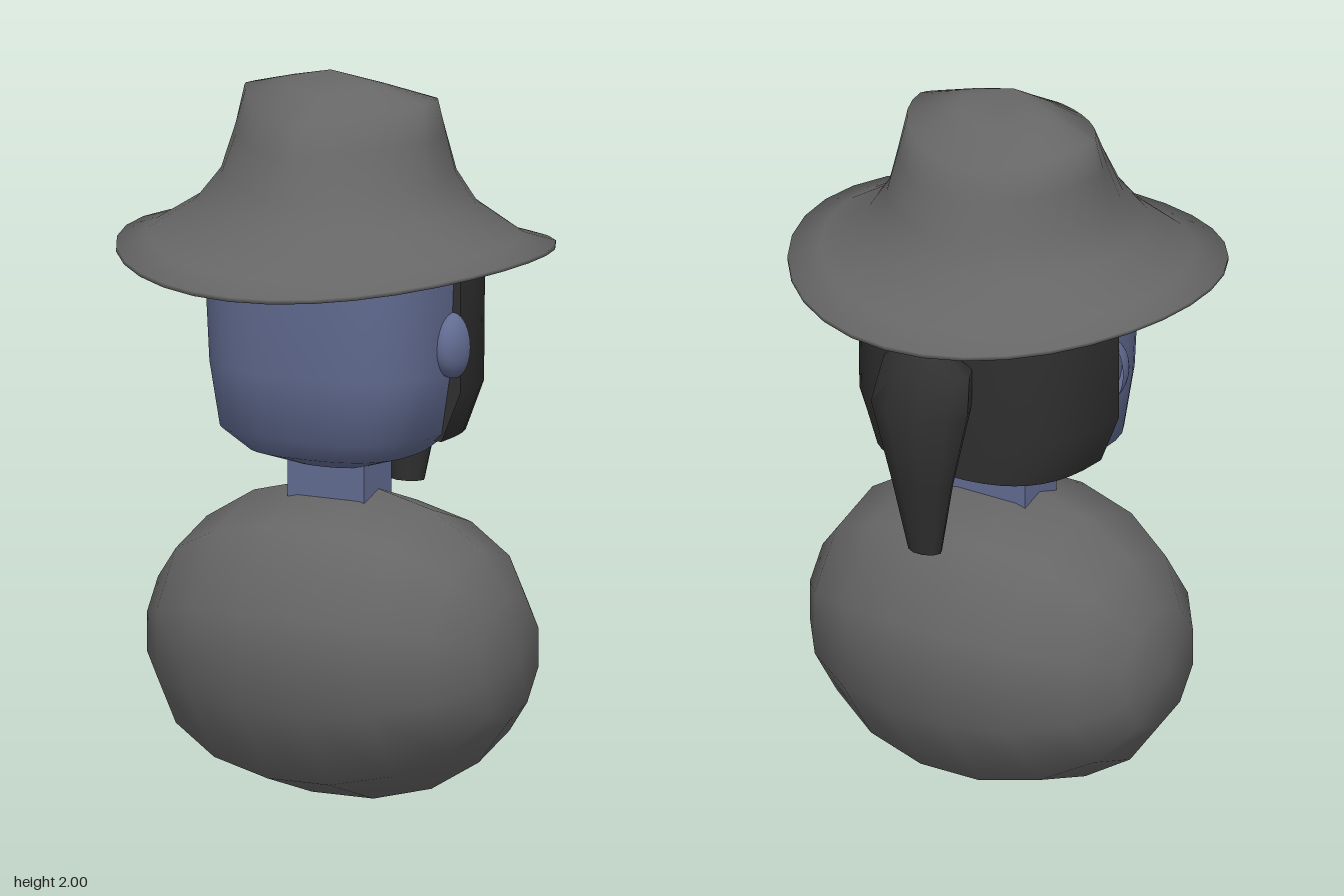
import * as THREE from 'three';
import { toCreasedNormals } from 'three/addons/utils/BufferGeometryUtils.js';

const material = (color) => new THREE.MeshStandardMaterial({ color, side: THREE.DoubleSide });

// Skin closed rings of equal point count, listed from bottom to top.
function loft(rings, crease) {
  const n = rings[0].length;
  const index = [];
  for (let i = 0; i < rings.length - 1; i++) {
    for (let j = 0; j < n; j++) {
      const k = (j + 1) % n;
      const a = i * n + j, b = i * n + k, c = a + n, d = b + n;
      index.push(a, b, d, a, d, c);
    }
  }
  const geometry = new THREE.BufferGeometry();
  geometry.setAttribute('position', new THREE.Float32BufferAttribute(rings.flat(2), 3));
  geometry.setIndex(index);
  return toCreasedNormals(geometry, crease);
}

// Outline with half widths rx and rz: power 2 is an ellipse, larger is squarer, smaller is pointed.
function outline(y, rx, rz, { cx = 0, cz = 0, power = 2, frontPower = power, sides = 32, half = false } = {}) {
  const points = [];
  for (let i = 0; i < sides; i++) {
    const t = half ? (i / (sides - 1)) * Math.PI : (i / sides) * Math.PI * 2;
    const exponent = 2 / (t > Math.PI ? frontPower : power);
    const round = (v) => Math.sign(v) * Math.abs(v) ** exponent;
    points.push([cx + rx * round(Math.cos(t)), y, cz - rz * round(Math.sin(t))]);
  }
  return points;
}

export function createModel() {
  const model = new THREE.Group();
  const cloth = material(0x666666);
  const skin = material(0x626c92);
  const hairColor = material(0x303030);

  function add(name, geometry, mat) {
    const mesh = new THREE.Mesh(geometry, mat);
    mesh.name = name;
    model.add(mesh);
    return mesh;
  }

  // Torso: ten-sided barrel lying along x, a little fuller than an ellipsoid
  const torsoRings = [];
  for (let i = 0; i <= 9; i++) {
    const a = (i / 9) * Math.PI;
    const r = Math.max(Math.sin(a), 0) ** 0.86;
    torsoRings.push(outline(-0.545 * Math.cos(a), 0.434 * r, 0.427 * r, { sides: 10 }));
  }
  const torso = add('torso', loft(torsoRings, 1.2), cloth);
  torso.rotation.z = -Math.PI / 2;
  torso.position.set(0.015, 0.43, -0.01);

  // Neck
  add('neck', new THREE.BoxGeometry(0.235, 0.16, 0.15), skin).position.set(0.008, 0.9, -0.005);

  // Head: tapered rounded block [y, half width, half depth]
  const headLevels = [
    [0.915, 0, 0], [0.922, 0.11, 0.1], [0.96, 0.235, 0.205], [1.02, 0.31, 0.265],
    [1.2, 0.338, 0.288], [1.48, 0.348, 0.306], [1.53, 0.348, 0.306], [1.53, 0, 0],
  ];
  add('head', loft(headLevels.map(([y, rx, rz]) =>
    outline(y, rx, rz, { cx: 0.005, cz: -0.007, power: 2.7 })), 0.95), skin);

  // Hair: half shell around the back of the head
  const hairLevels = [
    [1.0, 0, 0], [1.0, 0.314, 0.315], [1.14, 0.372, 0.325], [1.48, 0.372, 0.335],
    [1.53, 0.372, 0.335], [1.53, 0, 0],
  ];
  add('hair', loft(hairLevels.map(([y, rx, rz]) =>
    outline(y, rx, rz, { cz: -0.018, power: 2.8, sides: 21, half: true })), 0.8), hairColor);

  // Ponytail [y, centre z, half width, half depth]
  const tailLevels = [
    [0.795, -0.398, 0, 0], [0.8, -0.398, 0.05, 0.036], [1.0, -0.41, 0.09, 0.065],
    [1.24, -0.417, 0.15, 0.106], [1.34, -0.39, 0.138, 0.09], [1.39, -0.405, 0.08, 0.05],
    [1.4, -0.42, 0, 0],
  ];
  add('ponytail', loft(tailLevels.map(([y, cz, rx, rz]) =>
    outline(y, rx, rz, { cz, sides: 10 })), 0.9), hairColor);

  // Ears: half ellipsoids, flat side towards the hair
  for (const side of [1, -1]) {
    const ear = add(side > 0 ? 'leftEar' : 'rightEar',
      new THREE.SphereGeometry(1, 16, 12, 0, Math.PI), skin);
    ear.scale.set(0.052, 0.09, 0.075);
    ear.position.set(0.01 + side * 0.342, 1.27, -0.016);
  }

  // Hat: closed underside, rim, crown pinched towards the front
  // [half width, half depth, y at sides, y at front and back, power of front outline, centre z]
  const hatLevels = [
    [0, 0, 1.5, 1.5, 2, 0], [0.35, 0.35, 1.502, 1.492, 2, 0],
    [0.592, 0.595, 1.522, 1.465, 2, 0], [0.592, 0.595, 1.532, 1.477, 2, 0],
    [0.51, 0.5, 1.555, 1.51, 2, 0], [0.38, 0.38, 1.635, 1.615, 2, 0],
    [0.32, 0.33, 1.72, 1.7, 1.8, -0.005], [0.298, 0.285, 1.83, 1.8, 1.55, -0.005],
    [0.28, 0.245, 1.93, 1.88, 1.35, -0.005], [0.14, 0.12, 1.967, 1.942, 1.6, 0.01],
    [0, 0, 2, 2, 2, 0.03],
  ];
  add('hat', loft(hatLevels.map(([rx, rz, ySide, yFront, frontPower, cz]) =>
    outline(0, rx, rz, { cz, frontPower }).map(([x, , z], i) => {
      const side = Math.cos((i / 32) * Math.PI * 2) ** 2;
      return [x, yFront + (ySide - yFront) * side, z];
    })), 1.9), cloth);

  return model;
}
